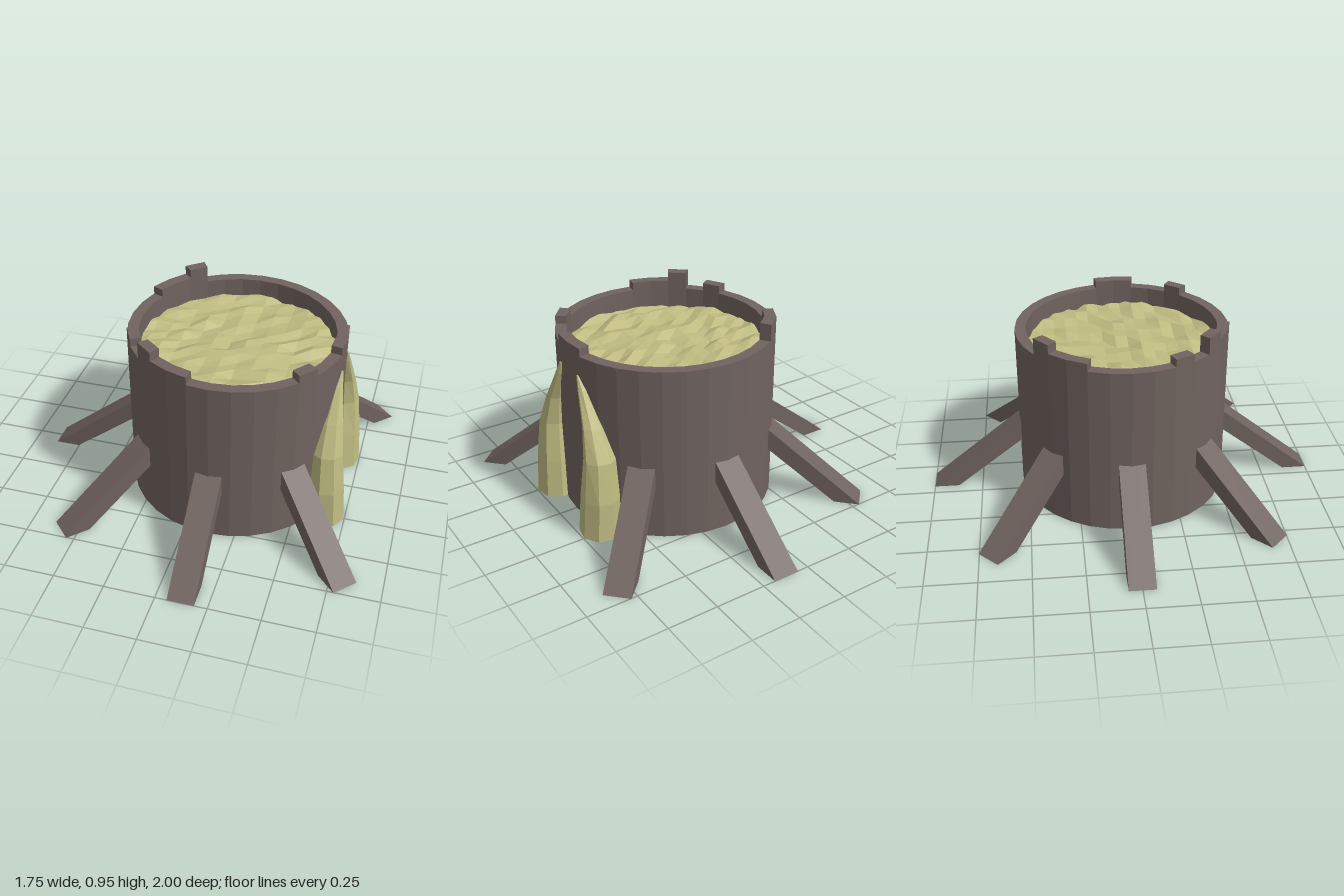
import * as THREE from 'three';

const STEP = Math.PI / 16; // one of 32 wall facets
const CX = 0.122, R_OUT = 0.535, R_IN = 0.48, RIM = 0.87;

const wood = new THREE.MeshStandardMaterial({ color: 0x70635f, flatShading: true });
const slime = new THREE.MeshStandardMaterial({ color: 0xc0bc82, flatShading: true });

function add(parent, name, geometry, material) {
  const mesh = new THREE.Mesh(geometry, material);
  mesh.name = name;
  parent.add(mesh);
  return mesh;
}

// Raised piece of the rim, from facet a to facet b
function rimBlock(a, b, top) {
  const pts = [];
  for (let i = a; i <= b; i++) pts.push([R_OUT, i]);
  for (let i = b; i >= a; i--) pts.push([R_IN, i]);
  const shape = new THREE.Shape(pts.map(([r, i]) =>
    new THREE.Vector2(r * Math.cos(i * STEP), -r * Math.sin(i * STEP))));
  const geo = new THREE.ExtrudeGeometry(shape, { depth: top - RIM, bevelEnabled: false });
  return geo.rotateX(-Math.PI / 2).translate(0, RIM, 0);
}

// Slanted prop with a flat foot, running outwards along +x
function propGeometry() {
  const shape = new THREE.Shape([[0.47, 0.422], [0.47, 0.312], [0.875, 0], [1, 0]]
    .map(([x, y]) => new THREE.Vector2(x, y)));
  return new THREE.ExtrudeGeometry(shape, { depth: 0.13, bevelEnabled: false }).translate(0, 0, -0.065);
}

// Lumpy liquid surface whose edge is tucked into the wall
function surfaceGeometry() {
  const geo = new THREE.PlaneGeometry(1.04, 1.04, 13, 17).rotateX(-Math.PI / 2);
  const pos = geo.attributes.position;
  let seed = 7;
  const rand = () => (seed = (seed * 16807) % 2147483647) / 2147483647;
  for (let i = 0; i < pos.count; i++) {
    const x = pos.getX(i), z = pos.getZ(i);
    const k = Math.min(1, 0.515 / Math.hypot(x, z));
    pos.setXYZ(i, x * k, 0.775 + (rand() - 0.5) * 0.032, z * k);
  }
  return geo;
}

// Tapering, bent drip lofted through eight-sided sections
function dripGeometry() {
  const sections = [ // y, x, z, half width x, half width z
    [0, 0.65, 0.23, 0.098, 0.106],
    [0.2, 0.643, 0.236, 0.092, 0.1],
    [0.4, 0.632, 0.233, 0.082, 0.072],
    [0.55, 0.632, 0.187, 0.06, 0.043],
    [0.71, 0.642, 0.112, 0.025, 0.025],
    [0.77, 0.652, 0.085, 0.005, 0.008],
  ];
  const N = 8, verts = [], index = [];
  for (const [y, x, z, rx, rz] of sections) {
    for (let j = 0; j < N; j++) {
      const a = (j + 0.25) * 2 * Math.PI / N;
      verts.push(x + rx * Math.cos(a), y, z + rz * Math.sin(a));
    }
  }
  for (let i = 0; i < sections.length - 1; i++) {
    for (let j = 0; j < N; j++) {
      const a = i * N + j, b = i * N + (j + 1) % N;
      index.push(a, a + N, b, b, a + N, b + N);
    }
  }
  // End caps
  const last = (sections.length - 1) * N;
  for (let j = 1; j < N - 1; j++) index.push(0, j, j + 1, last, last + j + 1, last + j);
  const geo = new THREE.BufferGeometry();
  geo.setAttribute('position', new THREE.Float32BufferAttribute(verts, 3));
  geo.setIndex(index);
  geo.computeVertexNormals();
  return geo;
}

export function createModel() {
  const model = new THREE.Group();
  model.name = 'vat';

  const vat = new THREE.Group();
  vat.name = 'vatBody';
  vat.position.x = CX;
  model.add(vat);

  // Wall with closed bottom
  const profile = [[0, 0], [R_OUT, 0], [R_OUT, RIM], [R_IN, RIM], [R_IN, 0.72]]
    .map(([x, y]) => new THREE.Vector2(x, y));
  add(vat, 'wall', new THREE.LatheGeometry(profile, 32), wood);

  // Broken rim
  const blocks = [
    [-1, 1, 0.91], [3, 4, 0.91], [9, 11, 0.91], [11, 12, 0.955],
    [13, 14, 0.91], [18, 20, 0.91], [20, 21, 0.955],
  ];
  blocks.forEach(([a, b, top], i) => add(vat, `rimBlock${i + 1}`, rimBlock(a, b, top), wood));

  // Props all round, except on the side with the drips
  const prop = propGeometry();
  for (let i = 1; i < 8; i++) add(vat, `prop${i}`, prop, wood).rotation.y = i * Math.PI / 4;

  add(vat, 'liquidSurface', surfaceGeometry(), slime);

  // Mirrored pair of drips
  const drip = dripGeometry();
  add(model, 'frontDrip', drip, slime);
  add(model, 'backDrip', drip, slime).scale.z = -1;

  return model;
}
